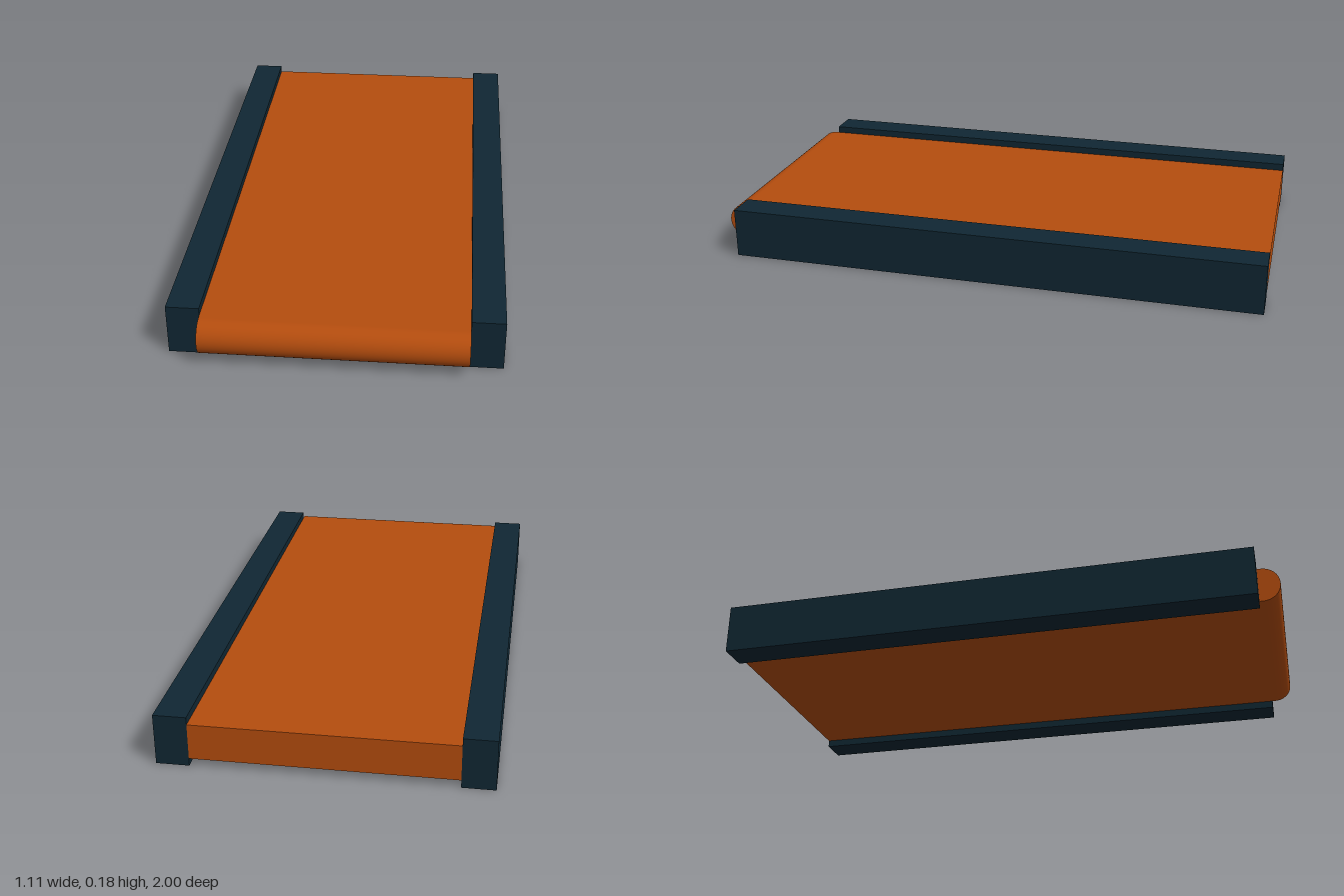
import * as THREE from 'three';

export function createModel() {
  const model = new THREE.Group();
  const orange = new THREE.MeshStandardMaterial({ color: 0xb54d0e });
  orange.name = 'burnt orange';
  const navy = new THREE.MeshStandardMaterial({ color: 0x102733 });
  navy.name = 'dark navy';

  const add = (name, geometry, material, x, y, z) => {
    const mesh = new THREE.Mesh(geometry, material);
    mesh.name = name;
    mesh.position.set(x, y, z);
    model.add(mesh);
  };

  const bedWidth = 0.886, radius = 0.063, midY = 0.09;
  const noseZ = 1 - radius;
  const railWidth = 0.112, railHeight = 0.179, railLength = 1.923;

  // Flat belt bed, square at the back
  add('beltBed', new THREE.BoxGeometry(bedWidth, radius * 2, noseZ + 1), orange,
    0, midY, (noseZ - 1) / 2);

  // Half-round front end with closed sides
  const nose = new THREE.CylinderGeometry(radius, radius, bedWidth, 32, 1, false, -Math.PI / 2, Math.PI);
  nose.rotateZ(Math.PI / 2);
  add('beltNose', nose, orange, 0, midY, noseZ);

  // Side rails, stopping just short of the nose
  for (const [name, side] of [['leftRail', 1], ['rightRail', -1]]) {
    add(name, new THREE.BoxGeometry(railWidth, railHeight, railLength), navy,
      side * (bedWidth + railWidth) / 2, railHeight / 2, -1 + railLength / 2);
  }

  return model;
}
